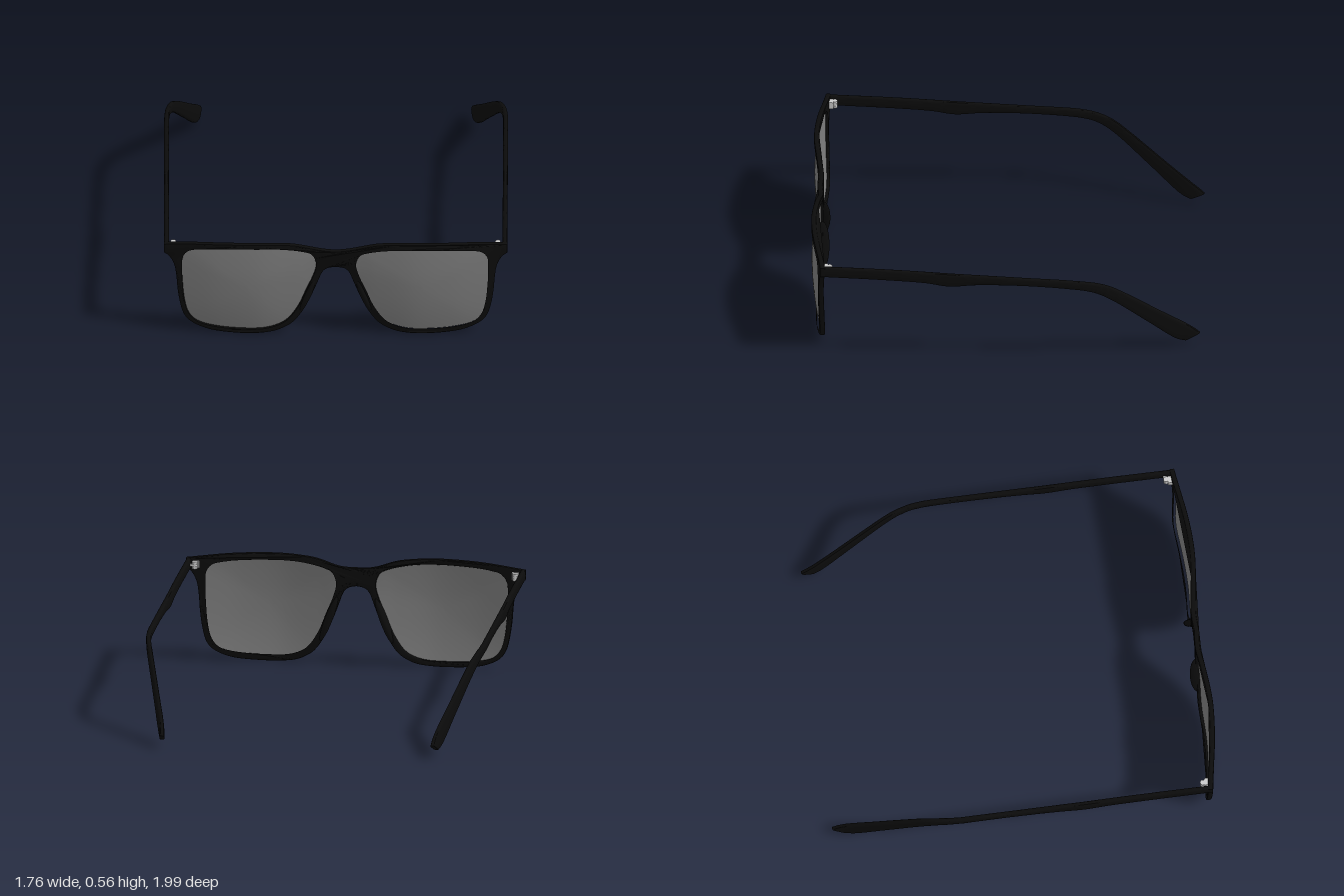
import * as THREE from 'three';
import { toCreasedNormals } from 'three/addons/utils/BufferGeometryUtils.js';

const black = new THREE.MeshStandardMaterial({ color: 0x0b0b0b });
const tinted = new THREE.MeshStandardMaterial({ color: 0x7c7c7c, side: THREE.DoubleSide });
const metal = new THREE.MeshStandardMaterial({ color: 0xcccccc });

const vec2 = (list) => list.map(([x, y]) => new THREE.Vector2(x, y));
const mirrored = (list) => list.map(([x, y]) => [-x, y]);

// Smooth value read along a short list of [position, value] stations
function along(list) {
  const curve = new THREE.SplineCurve(vec2(list));
  const pts = curve.getPoints(list.length * 8);
  return (t) => {
    let i = 1;
    while (i < pts.length - 1 && pts[i].x < t) i++;
    const a = pts[i - 1], b = pts[i];
    return THREE.MathUtils.mapLinear(THREE.MathUtils.clamp(t, pts[0].x, pts.at(-1).x), a.x, b.x, a.y, b.y);
  };
}

// Wrap of the front: each side bows forward, the lower part leans back
const bow = along([[0, 0.956], [0.1, 0.95], [0.2, 0.962], [0.4, 0.98], [0.6, 0.969], [0.8, 0.938], [0.88, 0.928]]);
const frontZ = (x, y) => bow(Math.abs(x)) - 0.024 * (Math.max(0, 0.4 - y) / 0.4) ** 2;

// Half outlines on the +x side
const browLine = [[0.09, 0.513], [0.2, 0.545], [0.28, 0.556], [0.4, 0.562], [0.55, 0.56], [0.7, 0.552], [0.878, 0.534]];
const lowerLine = [[0.85, 0.46], [0.825, 0.41], [0.814, 0.34], [0.808, 0.26], [0.795, 0.17], [0.775, 0.1],
  [0.74, 0.058], [0.68, 0.028], [0.6, 0.01], [0.45, 0.002], [0.33, 0.011], [0.26, 0.037], [0.21, 0.075],
  [0.16, 0.15], [0.12, 0.24], [0.09, 0.32], [0.07, 0.372], [0.045, 0.4]];
const lensLine = [[0.1, 0.41], [0.105, 0.45], [0.125, 0.485], [0.17, 0.505], [0.28, 0.527], [0.4, 0.533],
  [0.55, 0.53], [0.68, 0.52], [0.75, 0.503], [0.78, 0.465], [0.785, 0.4], [0.782, 0.3], [0.77, 0.18], [0.75, 0.11],
  [0.71, 0.065], [0.62, 0.04], [0.45, 0.03], [0.35, 0.036], [0.28, 0.06], [0.24, 0.092], [0.19, 0.17],
  [0.15, 0.27], [0.12, 0.34]];
const lensContour = new THREE.CatmullRomCurve3(lensLine.map(([x, y]) => new THREE.Vector3(x, y, 0)), true)
  .getPoints(92).slice(0, -1);

// Front frame: outline with two lens openings, bent to the wrap
function frameGeometry() {
  const shape = new THREE.Shape();
  const top = [...mirrored(browLine).reverse(), [0, 0.506], ...browLine];
  shape.moveTo(...top[0]);
  shape.splineThru(vec2(top.slice(1)));
  shape.lineTo(0.878, 0.482);
  shape.splineThru(vec2([...lowerLine, [0, 0.41], ...mirrored(lowerLine).reverse(), [-0.878, 0.482]]));
  shape.closePath();
  for (const s of [1, -1]) {
    shape.holes.push(new THREE.Path(lensContour.map((p) => new THREE.Vector2(s * p.x, p.y))));
  }
  const g = new THREE.ExtrudeGeometry(shape, {
    depth: 0.016, curveSegments: 4, bevelEnabled: true, bevelThickness: 0.005,
    bevelSize: 0.005, bevelOffset: -0.005, bevelSegments: 2,
  });
  const p = g.attributes.position;
  for (let i = 0; i < p.count; i++) {
    const x = p.getX(i), y = p.getY(i);
    p.setZ(i, frontZ(x, y) + p.getZ(i) - 0.008);
  }
  return toCreasedNormals(g, 0.7);
}

// Lens: the opening's contour filled with rings that bulge forward
function lensGeometry() {
  const rings = 10, n = lensContour.length, cx = 0.45, cy = 0.29;
  const pos = [], index = [];
  for (let r = 0; r <= rings; r++) {
    const k = (r / rings) * 1.01;
    for (const c of lensContour) {
      const x = cx + (c.x - cx) * k, y = cy + (c.y - cy) * k;
      pos.push(x, y, frontZ(x, y) + 0.012 * (1 - k * k));
    }
  }
  for (let r = 0; r < rings; r++) for (let i = 0; i < n; i++) {
    const j = (i + 1) % n, a = r * n, b = a + n;
    if (r > 0) index.push(a + i, a + j, b + i);
    index.push(a + j, b + j, b + i);
  }
  const g = new THREE.BufferGeometry();
  g.setAttribute('position', new THREE.Float32BufferAttribute(pos, 3));
  g.setIndex(index);
  g.computeVertexNormals();
  return g;
}

// Temple arm: rounded section swept between an upper and a lower edge line (z, y)
function templeGeometry() {
  const upper = [[0.925, 0.534], [0.6, 0.52], [0.4, 0.508], [0.28, 0.5], [0.12, 0.49], [-0.1, 0.477], [-0.36, 0.461],
    [-0.46, 0.444], [-0.53, 0.418], [-0.6, 0.373], [-0.8, 0.222], [-0.97, 0.095], [-1, 0.068]];
  const lower = [[0.925, 0.478], [0.6, 0.462], [0.4, 0.447], [0.28, 0.428], [0.14, 0.438], [-0.1, 0.436], [-0.35, 0.417],
    [-0.43, 0.402], [-0.49, 0.376], [-0.56, 0.327], [-0.73, 0.178], [-0.88, 0.048], [-0.925, 0.03]];
  const inset = along([[-1, 0.7], [-0.93, 0.711], [-0.8, 0.751], [-0.55, 0.83], [-0.46, 0.853], [-0.38, 0.864], [-0.2, 0.867], [0.93, 0.865]]);
  const toCurve = (l) => new THREE.CatmullRomCurve3(l.map(([z, y]) => new THREE.Vector3(0, y, z)));
  const steps = 72, sides = 16;
  const up = toCurve(upper).getPoints(steps), low = toCurve(lower).getPoints(steps);
  const pos = [], index = [], p = new THREE.Vector3();
  const soft = (v) => Math.sign(v) * Math.abs(v) ** 0.5;
  for (let k = 0; k <= steps; k++) {
    for (let i = 0; i < sides; i++) {
      const a = (i / sides) * Math.PI * 2;
      p.lerpVectors(low[k], up[k], 0.5 + 0.5 * soft(Math.sin(a)));
      pos.push(inset(p.z) + 0.0125 * soft(Math.cos(a)), p.y, p.z);
    }
  }
  for (let k = 0; k < steps; k++) for (let i = 0; i < sides; i++) {
    const j = (i + 1) % sides, a = k * sides, b = a + sides;
    index.push(a + i, b + i, a + j, a + j, b + i, b + j);
  }
  // End caps
  for (let i = 1; i < sides - 1; i++) {
    const e = steps * sides;
    index.push(0, i, i + 1, e, e + i + 1, e + i);
  }
  const g = new THREE.BufferGeometry();
  g.setAttribute('position', new THREE.Float32BufferAttribute(pos, 3));
  g.setIndex(index);
  return toCreasedNormals(g, 0.8);
}

export function createModel() {
  const model = new THREE.Group();
  model.name = 'glasses';
  const add = (parent, name, geometry, material, x = 0, y = 0, z = 0) => {
    const mesh = new THREE.Mesh(geometry, material);
    mesh.name = name;
    mesh.position.set(x, y, z);
    parent.add(mesh);
    return mesh;
  };

  add(model, 'frontFrame', frameGeometry(), black);
  const lens = lensGeometry(), temple = templeGeometry();

  for (const [s, side] of [[1, 'left'], [-1, 'right']]) {
    const half = new THREE.Group();
    half.name = side + 'Side';
    half.scale.x = s;
    model.add(half);
    add(half, side + 'Lens', lens, tinted);
    add(half, side + 'Temple', temple, black);

    // Nose pad along the inner rim
    const pad = add(half, side + 'NosePad', new THREE.SphereGeometry(1, 20, 14), black, 0.143, 0.235, 0.941);
    pad.scale.set(0.02, 0.125, 0.036);
    pad.rotation.z = 0.36;

    // Hinge: plate on the frame, three knuckles and a leaf on the temple
    const hinge = new THREE.Group();
    hinge.name = side + 'Hinge';
    half.add(hinge);
    add(hinge, 'framePlate', new THREE.BoxGeometry(0.036, 0.036, 0.022), metal, 0.827, 0.503, 0.912);
    add(hinge, 'templeLeaf', new THREE.BoxGeometry(0.026, 0.012, 0.022), metal, 0.845, 0.503, 0.891);
    for (const y of [0.49, 0.503, 0.516]) {
      add(hinge, 'knuckle', new THREE.CylinderGeometry(0.014, 0.014, 0.012, 16), metal, 0.83, y, 0.893);
    }
  }
  return model;
}
